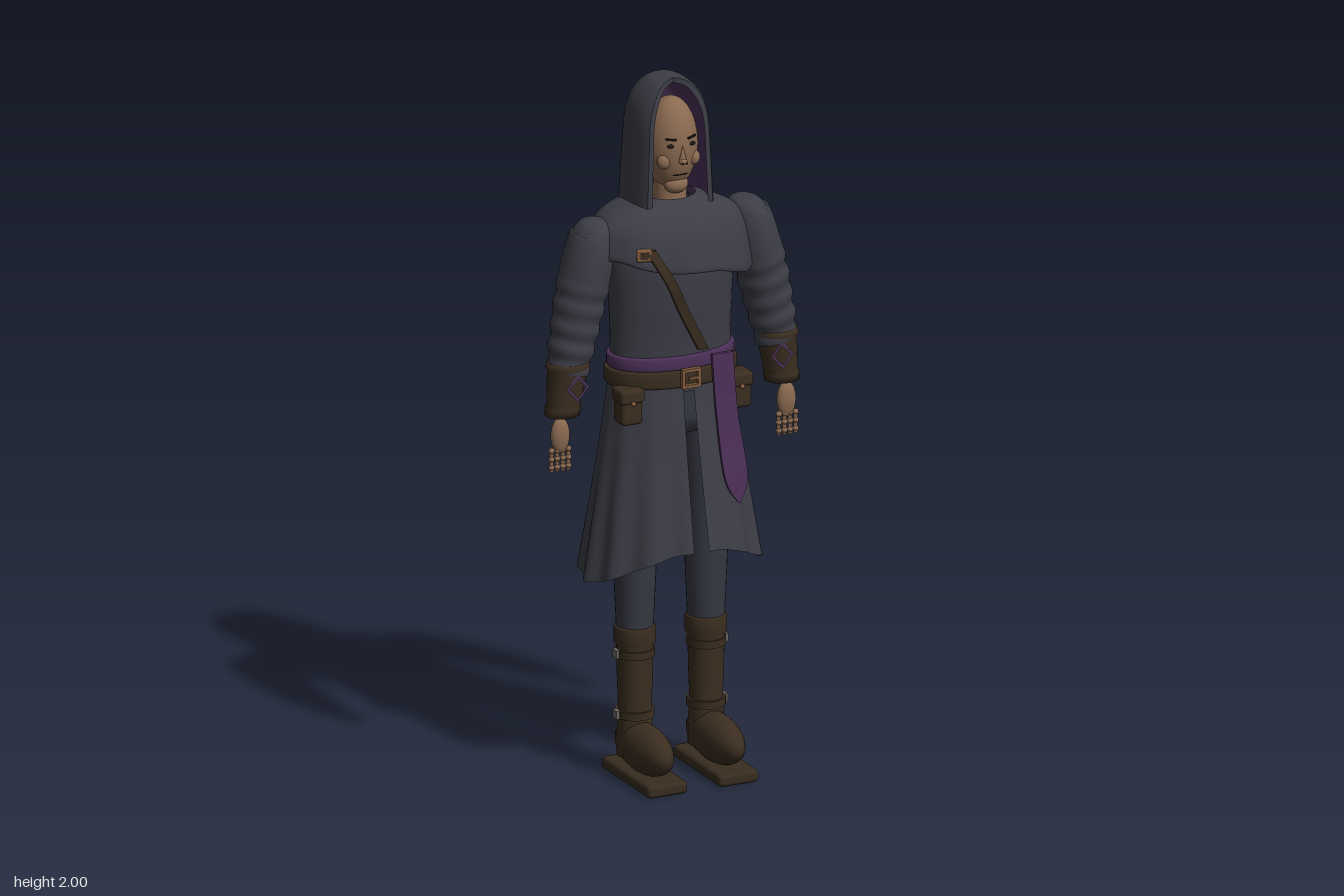
import * as THREE from 'three';
import { RoundedBoxGeometry } from 'three/addons/geometries/RoundedBoxGeometry.js';

const mat = (name, color, side = THREE.DoubleSide) => {
  const m = new THREE.MeshStandardMaterial({ color, side });
  m.name = name;
  return m;
};
const cloth = mat('charcoal cloth', 0x3c3d46);
const trouser = mat('slate trousers', 0x363842);
const leather = mat('dark leather', 0x3b2e20);
const soleMat = mat('boot leather', 0x382c1f);
const purple = mat('purple cloth', 0x4c3058);
const brass = mat('brass', 0x80593a);
const skin = mat('skin', 0x8a6a51);
const dark = mat('dark features', 0x1c1614);
const steel = mat('steel', 0x6c6763);

function add(parent, name, geo, material, pos = [0, 0, 0], scale = [1, 1, 1], rot = [0, 0, 0]) {
  const m = new THREE.Mesh(geo, material);
  m.name = name;
  m.position.set(...pos);
  m.scale.set(...scale);
  m.rotation.set(...rot);
  parent.add(m);
  return m;
}

// Skin over cross-sections listed from top to bottom
function loft(rings, closed = true, flat = false) {
  const n = rings[0].length, idx = [];
  for (let i = 0; i < rings.length - 1; i++) {
    for (let j = 0; j < (closed ? n : n - 1); j++) {
      const k = (j + 1) % n, a = i * n + j, b = i * n + k;
      idx.push(a, a + n, b + n, a, b + n, b);
    }
  }
  let g = new THREE.BufferGeometry();
  g.setAttribute('position', new THREE.Float32BufferAttribute(rings.flat(2), 3));
  g.setIndex(idx);
  if (flat) g = g.toNonIndexed();
  g.computeVertexNormals();
  return g;
}

// Oval section, running from the front round by +x
const oval = (y, w, zf, zb, cx = 0, cz = 0, n = 40) => Array.from({ length: n }, (_, j) => {
  const a = j / n * Math.PI * 2, c = Math.cos(a);
  return [cx + w * Math.sin(a), y, cz + (c > 0 ? zf : -zb) * c];
});

// Smoothly resample rows of numbers
function smooth(rows, count) {
  const out = [];
  for (let i = 0; i <= count; i++) {
    const f = i / count * (rows.length - 1), k = Math.min(Math.floor(f), rows.length - 2), t = f - k;
    const at = (q) => rows[Math.max(0, Math.min(rows.length - 1, q))];
    out.push(rows[k].map((_, c) => {
      const [p0, p1, p2, p3] = [at(k - 1)[c], at(k)[c], at(k + 1)[c], at(k + 2)[c]];
      return p1 + 0.5 * t * (p2 - p0 + t * (2 * p0 - 5 * p1 + 4 * p2 - p3 + t * (3 * (p1 - p2) + p3 - p0)));
    }));
  }
  return out;
}

// Thin band through [x, y, z, halfWidth]
const ribbon = (pts, t = 0.005) => loft(smooth(pts, 16).map(([x, y, z, w]) =>
  [[x - w, y, z + t], [x + w, y, z + t], [x + w, y, z - t], [x - w, y, z - t]]), true, true);

const band = (y0, y1, w, zf, zb) => loft([[y1, 0.02], [y1, 0.004], [y1 - 0.006, 0], [y0 + 0.006, 0], [y0, 0.004], [y0, 0.02]]
  .map(([y, d]) => oval(y, w - d, zf - d, zb + d)));

function buildHead(g) {
  const ball = new THREE.SphereGeometry(1, 32, 24);
  add(g, 'head', ball, skin, [0, 1.81, 0], [0.075, 0.133, 0.076]);
  add(g, 'neck', new THREE.CylinderGeometry(0.043, 0.05, 0.12, 24), skin, [0, 1.66, -0.005]);
  add(g, 'nose', new THREE.ConeGeometry(0.012, 0.05, 12), skin, [0, 1.8, 0.077]);
  add(g, 'noseTip', ball, skin, [0, 1.778, 0.08], [0.012, 0.009, 0.011]);
  add(g, 'mouth', ball, dark, [0, 1.734, 0.06], [0.022, 0.0025, 0.004]);
  add(g, 'chin', ball, skin, [0, 1.7, 0.035], [0.035, 0.026, 0.025]);
  for (const s of [-1, 1]) {
    add(g, 'cheek', ball, skin, [s * 0.044, 1.775, 0.05], [0.02, 0.022, 0.017]);
    add(g, 'eye', ball, dark, [s * 0.03, 1.822, 0.067], [0.013, 0.006, 0.005]);
    add(g, 'brow', new THREE.BoxGeometry(0.03, 0.005, 0.006), dark, [s * 0.031, 1.841, 0.068], [1, 1, 1], [0, s * 0.4, s * 0.08]);
    add(g, 'nostril', ball, dark, [s * 0.006, 1.774, 0.089], [0.003, 0.003, 0.003]);
  }
}

function buildHood(g) {
  const rows = smooth([[2, 0, 0.015, -0.045], [1.988, 0.047, 0.03, -0.085], [1.95, 0.084, 0.046, -0.118], [1.89, 0.106, 0.054, -0.134],
    [1.78, 0.114, 0.058, -0.142], [1.68, 0.119, 0.06, -0.149], [1.605, 0.124, 0.06, -0.148]], 30);
  const pow = (v, e) => Math.sign(v) * Math.abs(v) ** e;
  const shell = (ws, dy, zs) => rows.map(([y, w, zf, zb]) => Array.from({ length: 41 }, (_, j) => {
    const a = Math.PI * (0.27 + 1.46 * j / 40), d = (zf - zb * zs) / 1.717;
    return [w * ws * pow(Math.sin(a), 0.7), y - dy, zb * zs + d + d * pow(Math.cos(a), 0.8)];
  }));
  const outer = shell(1, 0, 1), inner = shell(0.86, 0.014, 0.92);
  const edge = (sh) => [...sh.map((r) => r[0]).reverse(), ...sh.map((r) => r[40])];
  add(g, 'hood', loft(outer, false), cloth);
  add(g, 'hoodLining', loft(inner, false), purple);
  add(g, 'hoodRim', loft([edge(outer), edge(inner)], false), cloth);
}

function buildTorso(g) {
  add(g, 'tunicBody', loft(smooth([[1.65, 0.06, 0.05, -0.06], [1.6, 0.16, 0.085, -0.1], [1.5, 0.185, 0.112, -0.125],
    [1.38, 0.18, 0.112, -0.12], [1.25, 0.176, 0.102, -0.11], [1.12, 0.178, 0.1, -0.108]], 24).map((r) => oval(...r))), cloth);
  // Shoulder mantle with a slanting, gently rippled hem
  add(g, 'mantle', loft(smooth([[0, 0.07, 0.06, -0.08], [0.12, 0.14, 0.09, -0.12], [0.25, 0.19, 0.108, -0.143],
    [0.45, 0.222, 0.125, -0.158], [0.75, 0.238, 0.138, -0.168], [1, 0.244, 0.145, -0.178], [1.02, 0.225, 0.13, -0.165]], 24)
    .map(([f, w, zf, zb]) => oval(0, w, zf, zb, 0, 0, 96).map(([x, , z], j) => {
      const a = j / 96 * Math.PI * 2, k = 1 + 0.018 * f * Math.sin(9 * a + 1);
      const hem = 1.478 - 0.042 * Math.sin(a) + 0.006 * Math.sin(5 * a);
      return [x * k, 1.665 + (hem - 1.665) * f, z * k];
    }))), cloth);
  add(g, 'pelvis', loft([oval(1.16, 0.165, 0.09, -0.09), oval(1.04, 0.16, 0.09, -0.09), oval(0.99, 0.12, 0.07, -0.07), oval(0.98, 0, 0, 0)]), trouser);
  add(g, 'chestStrap', ribbon([[-0.125, 1.555, 0.13, 0.015], [-0.07, 1.46, 0.143, 0.015], [-0.02, 1.36, 0.126, 0.015], [0.045, 1.24, 0.11, 0.015]], 0.007), leather);
  add(g, 'strapClasp', new RoundedBoxGeometry(0.042, 0.036, 0.014, 2, 0.005), brass, [-0.142, 1.543, 0.127], [1, 1, 1], [0, -0.3, 0]);
  add(g, 'claspCentre', new THREE.BoxGeometry(0.022, 0.018, 0.006), leather, [-0.144, 1.543, 0.134], [1, 1, 1], [0, -0.3, 0]);
}

function buildBelt(g) {
  add(g, 'waistSash', band(1.188, 1.226, 0.187, 0.115, -0.12), purple);
  add(g, 'belt', band(1.14, 1.188, 0.193, 0.122, -0.126), leather);
  add(g, 'sashTail', ribbon([[0.097, 1.225, 0.122, 0.032], [0.108, 1.05, 0.128, 0.032], [0.124, 0.87, 0.153, 0.034], [0.128, 0.8, 0.163, 0.002]]), purple);
  for (const s of [-1, 1]) {
    add(g, 'buckleSide', new THREE.BoxGeometry(0.009, 0.055, 0.014), brass, [s * 0.024, 1.168, 0.127]);
    add(g, 'buckleBar', new THREE.BoxGeometry(0.056, 0.009, 0.014), brass, [0, 1.168 + s * 0.023, 0.127]);
    add(g, 'pouch', new RoundedBoxGeometry(0.064, 0.095, 0.062, 3, 0.012), leather, [s * 0.165, 1.095, 0.075]);
    add(g, 'pouchFlap', new RoundedBoxGeometry(0.072, 0.04, 0.07, 3, 0.01), leather, [s * 0.165, 1.13, 0.075]);
    add(g, 'pouchButton', new THREE.SphereGeometry(0.007, 12, 8), brass, [s * 0.165, 1.112, 0.11]);
  }
  add(g, 'buckleTongue', new THREE.BoxGeometry(0.03, 0.007, 0.008), brass, [0.008, 1.168, 0.13]);
}

// Left half: sleeve, bracer, hand, skirt panel, leg and boot
function buildSide(g) {
  const ball = new THREE.SphereGeometry(1, 24, 16);
  add(g, 'sleeve', loft(smooth([[1.622, 0.226, 0, 0], [1.612, 0.228, 0.038, 0.045], [1.57, 0.236, 0.06, 0.068], [1.49, 0.254, 0.068, 0.076],
    [1.4, 0.276, 0.069, 0.071], [1.31, 0.295, 0.065, 0.063], [1.25, 0.308, 0.061, 0.057], [1.2, 0.315, 0.055, 0.051]], 56).map(([y, x, rx, rz]) => {
    const fold = y < 1.45 ? 0.003 * Math.sin((1.45 - y) * 110) : 0;
    const r = oval(y, Math.max(0, rx + fold), rz + fold, -rz - fold, x, -0.006 + (1.6 - y) * 0.04, 28);
    return r.map(([px, py, pz]) => [px, py + (px - x) * (y < 1.58 ? 0.25 : 0), pz]);
  })), cloth);
  add(g, 'bracer', loft([[1.23, 0.315, 0.045], [1.23, 0.315, 0.061], [1.212, 0.317, 0.061], [1.208, 0.317, 0.057], [1.105, 0.33, 0.047],
    [1.1, 0.331, 0.051], [1.078, 0.333, 0.049], [1.076, 0.333, 0]].map(([y, x, r]) => oval(y, r, r * 0.9, -r * 0.9, x, 0.01, 28))), leather);
  add(g, 'bracerEmblem', new THREE.RingGeometry(0.024, 0.034, 4), purple, [0.31, 1.165, 0.062], [1, 1.2, 1]);
  add(g, 'palm', ball, skin, [0.343, 1.02, 0.017], [0.028, 0.052, 0.018]);
  for (let i = 0; i < 4; i++) {
    const x = 0.319 + i * 0.017;
    add(g, 'finger', new THREE.CapsuleGeometry(0.006, 0.055, 4, 8), skin, [x, 0.95, 0.019]);
    for (let k = 0; k < 3; k++) add(g, 'knuckle', ball, skin, [x, 0.98 - k * 0.024, 0.02], [0.0085, 0.008, 0.0085]);
  }

  // Flared skirt panel, open at centre front and back
  const panel = [];
  for (let i = 0; i <= 20; i++) {
    const t = i / 20;
    panel.push(Array.from({ length: 61 }, (_, j) => {
      const a = 0.085 + (Math.PI - 0.17) * j / 60, c = Math.cos(a);
      const k = 1 + 0.035 * t * Math.sin(13 * a + 0.6), flare = t ** 1.15;
      const hem = 0.685 - 0.1 * Math.sin(a) ** 2;
      return [(0.18 + 0.078 * flare) * Math.sin(a) * k, 1.17 + (hem - 1.17) * t, ((c > 0 ? 0.11 : 0.113) + 0.08 * flare) * c * k];
    }));
  }
  add(g, 'skirtPanel', loft(panel, false), cloth);

  const lx = 0.108;
  add(g, 'leg', loft(smooth([[1.08, 0.07], [0.95, 0.072], [0.75, 0.064], [0.6, 0.059], [0.4, 0.05]], 16)
    .map(([y, r]) => oval(y, r, r, -r, lx, 0, 28))), trouser);
  const shaft = [[0, 0.43], [0.052, 0.435], [0.058, 0.43], [0.058, 0.385], [0.051, 0.378], [0.049, 0.28], [0.046, 0.2], [0.05, 0.12], [0.05, 0.06]]
    .reverse().map((p) => new THREE.Vector2(...p));
  add(g, 'bootShaft', new THREE.LatheGeometry(shaft, 32), leather, [lx, 0, 0]);
  for (const [y, r] of [[0.357, 0.055], [0.182, 0.054]]) {
    add(g, 'bootStrap', new THREE.CylinderGeometry(r, r, 0.022, 32), soleMat, [lx, y, 0]);
    add(g, 'bootBuckle', new THREE.BoxGeometry(0.01, 0.024, 0.024), steel, [lx + r + 0.002, y, 0]);
  }
  add(g, 'bootFoot', ball, leather, [lx, 0.095, 0.06], [0.056, 0.069, 0.146]);
  add(g, 'bootSole', new RoundedBoxGeometry(0.122, 0.036, 0.296, 3, 0.012), soleMat, [lx, 0.018, 0.061]);
}

export function createModel() {
  const root = new THREE.Group();
  root.name = 'hoodedTraveller';
  const group = (name, build) => {
    const g = new THREE.Group();
    g.name = name;
    build(g);
    root.add(g);
    return g;
  };
  group('headGroup', buildHead);
  group('hoodGroup', buildHood);
  group('torsoGroup', buildTorso);
  group('beltGroup', buildBelt);
  group('leftSide', buildSide);
  group('rightSide', buildSide).scale.x = -1;
  return root;
}
